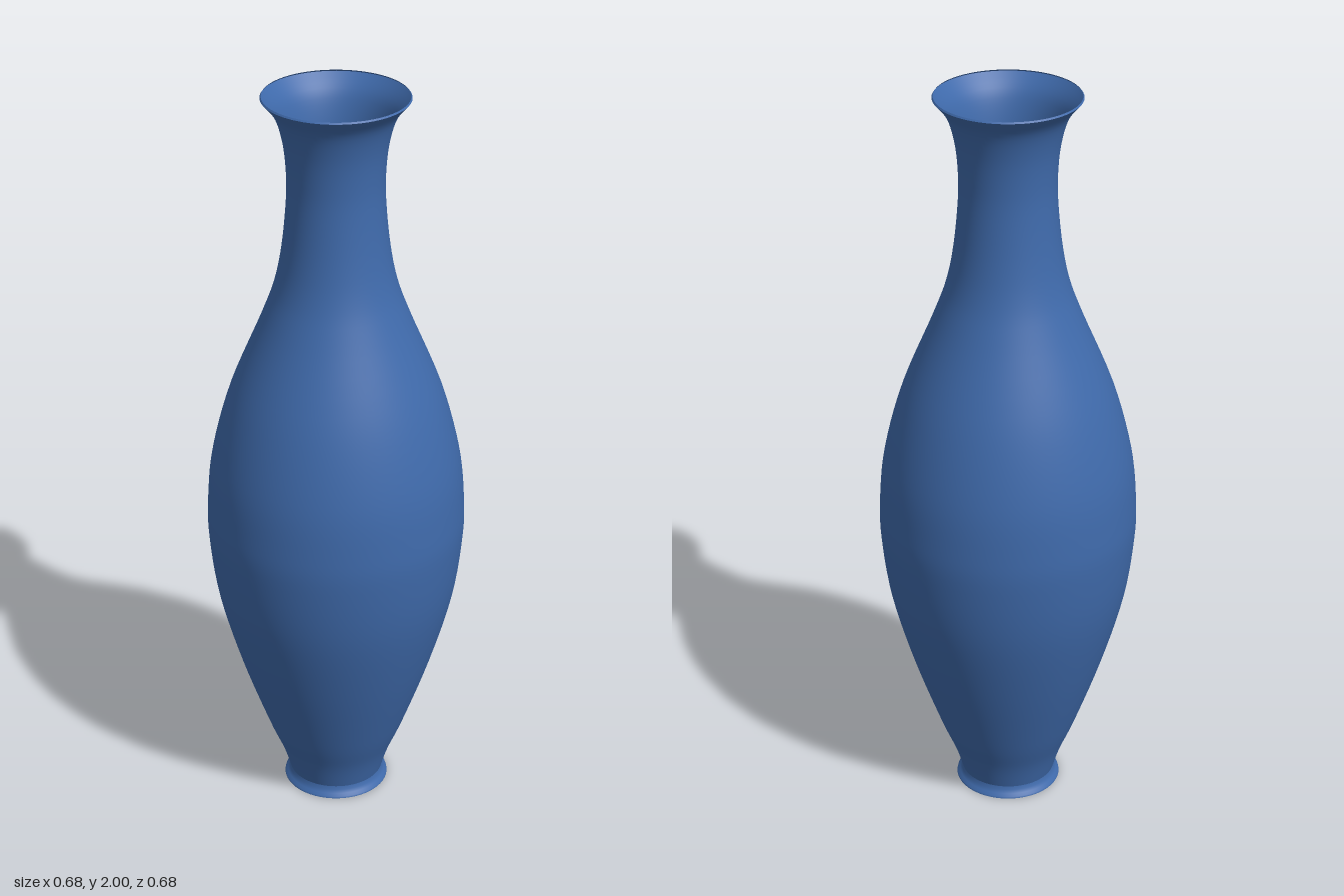
import * as THREE from 'three';

const SEGMENTS = 96;

export function createModel() {
  const vase = new THREE.Group();
  vase.name = 'vase';

  const blueGlaze = new THREE.MeshStandardMaterial({ color: 0x3f6aab, side: THREE.DoubleSide });
  blueGlaze.name = 'blue glaze';

  // Turns a list of [radius, height] points, bottom to top, into a lathed part
  function turn(name, points) {
    const profile = points.map(([r, y]) => new THREE.Vector2(r, y));
    const mesh = new THREE.Mesh(new THREE.LatheGeometry(profile, SEGMENTS), blueGlaze);
    mesh.name = name;
    vase.add(mesh);
  }

  // Thin open wall: narrow ankle, full belly, slim neck and flared mouth
  const wall = new THREE.SplineCurve([
    [0.127, 0.03], [0.149, 0.1], [0.19, 0.2], [0.26, 0.4], [0.315, 0.6],
    [0.338, 0.77], [0.339, 0.88], [0.324, 1.02], [0.276, 1.2], [0.194, 1.4],
    [0.158, 1.5], [0.138, 1.6], [0.126, 1.72], [0.125, 1.8], [0.133, 1.88],
    [0.153, 1.95], [0.188, 1.996],
  ].map(([r, y]) => new THREE.Vector2(r, y)));
  turn('wall', wall.getPoints(80).map((p) => [p.x, p.y]));

  // Small flared foot, open underneath
  turn('foot', [[0.142, 0], [0.141, 0.005], [0.134, 0.011], [0.129, 0.02], [0.127, 0.03]]);

  // Fine bevel around the mouth
  turn('rim', [[0.188, 1.996], [0.185, 2]]);

  return vase;
}
